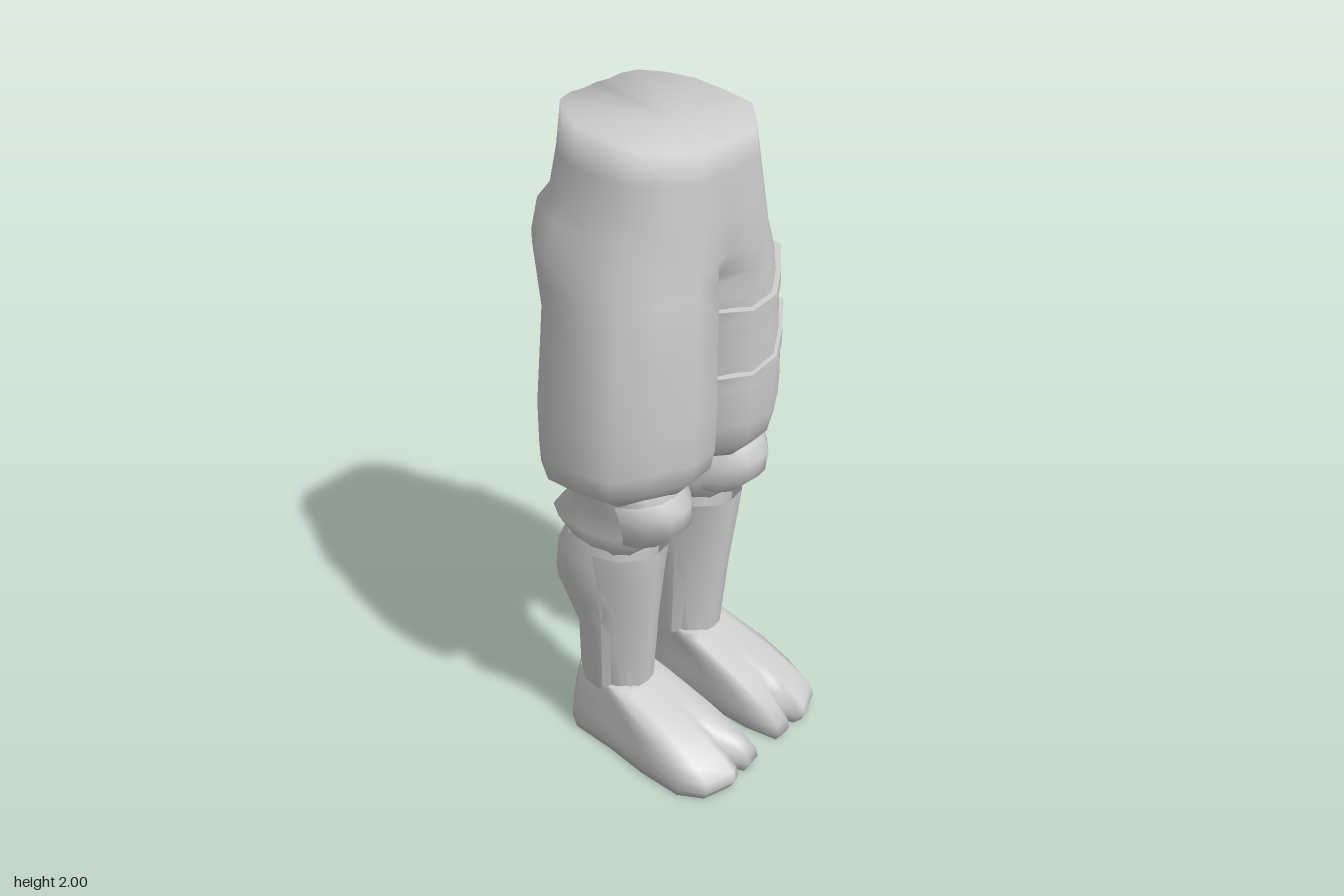
import * as THREE from 'three';
import { mergeGeometries, mergeVertices } from 'three/addons/utils/BufferGeometryUtils.js';

const material = new THREE.MeshStandardMaterial({ color: 0xcccccc, side: THREE.DoubleSide });
const lerp = THREE.MathUtils.lerp;

// Skin over successive rows of points; columns(i) limits how many quads row i gets
function loft(rows, closed = true, columns = null) {
  const n = rows[0].length, index = [];
  for (let i = 0; i < rows.length - 1; i++) {
    const count = columns ? columns(i) : closed ? n : n - 1;
    for (let j = 0; j < count; j++) {
      const k = (j + 1) % n;
      const a = i * n + j, b = i * n + k, c = b + n, d = a + n;
      index.push(a, d, b, d, c, b);
    }
  }
  const g = new THREE.BufferGeometry();
  g.setAttribute('position', new THREE.Float32BufferAttribute(rows.flat(2), 3));
  g.setIndex(index);
  g.computeVertexNormals();
  return g;
}

function mirrored(g) {
  const m = g.clone().scale(-1, 1, 1);
  const ix = m.index.array;
  for (let i = 0; i < ix.length; i += 3) [ix[i], ix[i + 1]] = [ix[i + 1], ix[i]];
  m.computeVertexNormals();
  return m;
}

// A row collapsed to one point, to close an end
const capOf = (ring, point) => ring.map(() => point);

// Level rounded ring, running front -> +x -> back
function oval([y, x0, x1, zf, zb], n = 12) {
  const pow = (v) => Math.sign(v) * Math.abs(v) ** 0.8;
  return Array.from({ length: n }, (_, i) => {
    const t = (i / n) * Math.PI * 2;
    return [(x0 + x1) / 2 + pow(Math.sin(t)) * (x1 - x0) / 2, y,
      (zf + zb) / 2 + pow(Math.cos(t)) * (zf - zb) / 2];
  });
}

// Half outline of the trousers: x share, then front-to-back share
const OUTLINE = [[0.2, 0.01], [0.45, 0], [0.72, 0.11], [0.97, 0.24], [1, 0.46], [0.99, 0.68],
  [0.84, 0.85], [0.64, 0.97], [0.42, 1], [0.2, 0.99]];

// yFront, yBack, outer x, inner x, front z, back z, front z and back z at the inner edge
function trouserRing([yf, yb, xo, xi, zf, zb, cf, cb]) {
  const ring = [[xi, yf, cf]];
  for (const [u, v] of OUTLINE) ring.push([lerp(xi, xo, u), lerp(yf, yb, v), lerp(zf, zb, v)]);
  ring.push([xi, yb, cb]);
  for (const t of [0.25, 0.5, 0.75]) ring.push([xi, lerp(yb, yf, t), lerp(cb, cf, t)]);
  return ring;
}

function trousers() {
  const rows = [
    [1.935, 2.0, 0.246, 0, 0.16, -0.28, 0.165, -0.28],
    [1.86, 1.88, 0.264, 0, 0.167, -0.29, 0.172, -0.283],
    [1.77, 1.78, 0.288, 0, 0.172, -0.305, 0.17, -0.295],
    [1.72, 1.73, 0.305, 0, 0.176, -0.345, 0.168, -0.3],
    [1.63, 1.64, 0.33, 0, 0.18, -0.358, 0.162, -0.31],
    [1.56, 1.56, 0.347, 0, 0.185, -0.33, 0.13, -0.28],
    [1.49, 1.48, 0.361, 0, 0.189, -0.305, 0.06, -0.22],
    [1.4, 1.4, 0.377, 0.001, 0.191, -0.302, 0.09, -0.2],
    [1.2, 1.2, 0.4, 0.001, 0.195, -0.31, 0.1, -0.2],
    [1.08, 1.08, 0.406, 0.001, 0.19, -0.305, 0.1, -0.2],
    [1.015, 1.015, 0.404, 0.003, 0.175, -0.3, 0.08, -0.19],
    [0.955, 0.97, 0.335, 0.03, 0.12, -0.23, 0.06, -0.15],
    [0.97, 0.98, 0.28, 0.09, 0.07, -0.18, 0.03, -0.12],
  ].map(trouserRing);
  // Closed waist with a shallow dip, and closed cuffs
  rows.unshift(capOf(rows[0], [0, 1.95, -0.02]));
  rows.push(capOf(rows[0], [0.19, 0.97, -0.05]));
  // Above the crotch only the outside is skinned, so both halves share one hip
  const half = loft(rows, true, (i) => (i < 7 ? OUTLINE.length + 1 : rows[0].length));
  const both = mergeGeometries([half, mirrored(half)]);
  both.deleteAttribute('normal');
  const g = mergeVertices(both, 1e-4);
  g.computeVertexNormals();
  return g;
}

// Slanted thin strap around the left thigh
function strap(xOuter, y0, slopeX, slopeZ) {
  const ring = (grow, dy) =>
    trouserRing([0, 0, xOuter + grow, -0.005 - grow, 0.195 + grow, -0.322 - grow, 0.12, -0.22])
      .map(([x, , z]) => [x, y0 + slopeX * x + slopeZ * z + dy, z]);
  const edges = [ring(-0.01, 0.024), ring(0.011, 0.024), ring(0.011, -0.024), ring(-0.01, -0.024)];
  // Separate lofts keep the strap edges crisp
  return mergeGeometries([0, 1, 2].map((i) => loft([edges[i], edges[i + 1]])));
}

// Curved open plate; each row is y, x0, x1, front z, side z, lift of the side corners
function plate(rows) {
  const across = [[0, 0], [0.12, 0.55], [0.33, 0.95], [0.5, 1], [0.67, 0.95], [0.88, 0.55], [1, 0]];
  return loft(rows.map(([y, x0, x1, zf, zs, lift]) =>
    across.map(([u, v]) => [lerp(x0, x1, u), y + lift * (1 - v), lerp(zs, zf, v)])), false);
}

// Level foot outline with a split toe: y, x0, x1, heel z, toe z, z of the split
function footRing([y, x0, x1, zb, zf, zSplit]) {
  const plan = [[0.42, 0.985], [0.52, 1], [0.86, 0.945], [1, 0.82], [0.97, 0.58], [0.88, 0.33],
    [0.83, 0.08], [0.7, 0], [0.28, 0], [0.14, 0.08], [0.09, 0.33], [0.03, 0.58], [0, 0.8],
    [0.05, 0.985], [0.23, 0.99]];
  return [[lerp(x0, x1, 0.34), y, zSplit],
    ...plan.map(([u, v]) => [lerp(x0, x1, u), y, lerp(zb, zf, v)])];
}

export function createModel() {
  const model = new THREE.Group();
  const add = (name, g, parent = model) => {
    const mesh = new THREE.Mesh(g, material);
    mesh.name = name;
    parent.add(mesh);
  };

  add('trousers', trousers());
  add('upperThighStrap', strap(0.369, 1.44, 0.14, -0.1));
  add('lowerThighStrap', strap(0.394, 1.235, 0.19, -0.09));

  const kneeRows = [[1.0, 0.08, 0.32, 0.09, -0.2], [0.95, 0.07, 0.325, 0.12, -0.225],
    [0.88, 0.07, 0.305, 0.11, -0.215], [0.82, 0.055, 0.32, 0.08, -0.282],
    [0.775, 0.06, 0.31, 0.05, -0.225], [0.74, 0.09, 0.29, 0.02, -0.2]].map((r) => oval(r));
  const shinRows = [[0.77, 0.07, 0.305, 0.02, -0.235], [0.7, 0.05, 0.315, 0.02, -0.27],
    [0.6, 0.048, 0.318, 0.01, -0.282], [0.52, 0.062, 0.295, 0.005, -0.26],
    [0.42, 0.075, 0.275, 0, -0.222], [0.22, 0.075, 0.268, 0, -0.226],
    [0.16, 0.095, 0.25, -0.03, -0.21]].map((r) => oval(r));
  const footRows = [[0.235, 0.08, 0.262, -0.224, -0.01, -0.01], [0.222, 0.072, 0.272, -0.23, 0.015, 0.014],
    [0.19, 0.066, 0.284, -0.234, 0.1, 0.098], [0.155, 0.06, 0.298, -0.237, 0.19, 0.185],
    [0.125, 0.055, 0.305, -0.24, 0.25, 0.225], [0.095, 0.05, 0.313, -0.242, 0.305, 0.24],
    [0.06, 0.045, 0.32, -0.245, 0.348, 0.248], [0.03, 0.045, 0.322, -0.248, 0.356, 0.25],
    [0, 0.05, 0.318, -0.25, 0.34, 0.245]].map(footRing);

  // Lower leg parts, built on the left and mirrored to the right
  const parts = {
    Knee: loft(kneeRows),
    KneePad: plate([[0.955, 0.055, 0.33, 0.125, 0.03, 0], [0.91, 0.05, 0.325, 0.155, 0.04, 0],
      [0.85, 0.05, 0.31, 0.152, 0.04, 0], [0.785, 0.075, 0.29, 0.085, 0.02, 0.02]]),
    Shin: loft(shinRows),
    ShinGuard: plate([[0.735, 0.018, 0.342, 0.062, -0.05, 0.03], [0.66, 0.045, 0.318, 0.055, -0.06, 0],
      [0.48, 0.072, 0.28, 0.035, -0.08, 0], [0.22, 0.07, 0.272, 0.006, -0.09, 0]]),
    Foot: loft([capOf(footRows[0], [0.17, 0.235, -0.1]), ...footRows,
      capOf(footRows[0], [0.16, 0, 0.1])]),
  };
  for (const side of ['left', 'right']) {
    const leg = new THREE.Group();
    leg.name = side + 'LowerLeg';
    for (const [name, g] of Object.entries(parts)) {
      add(side + name, side === 'left' ? g : mirrored(g), leg);
    }
    model.add(leg);
  }
  return model;
}
